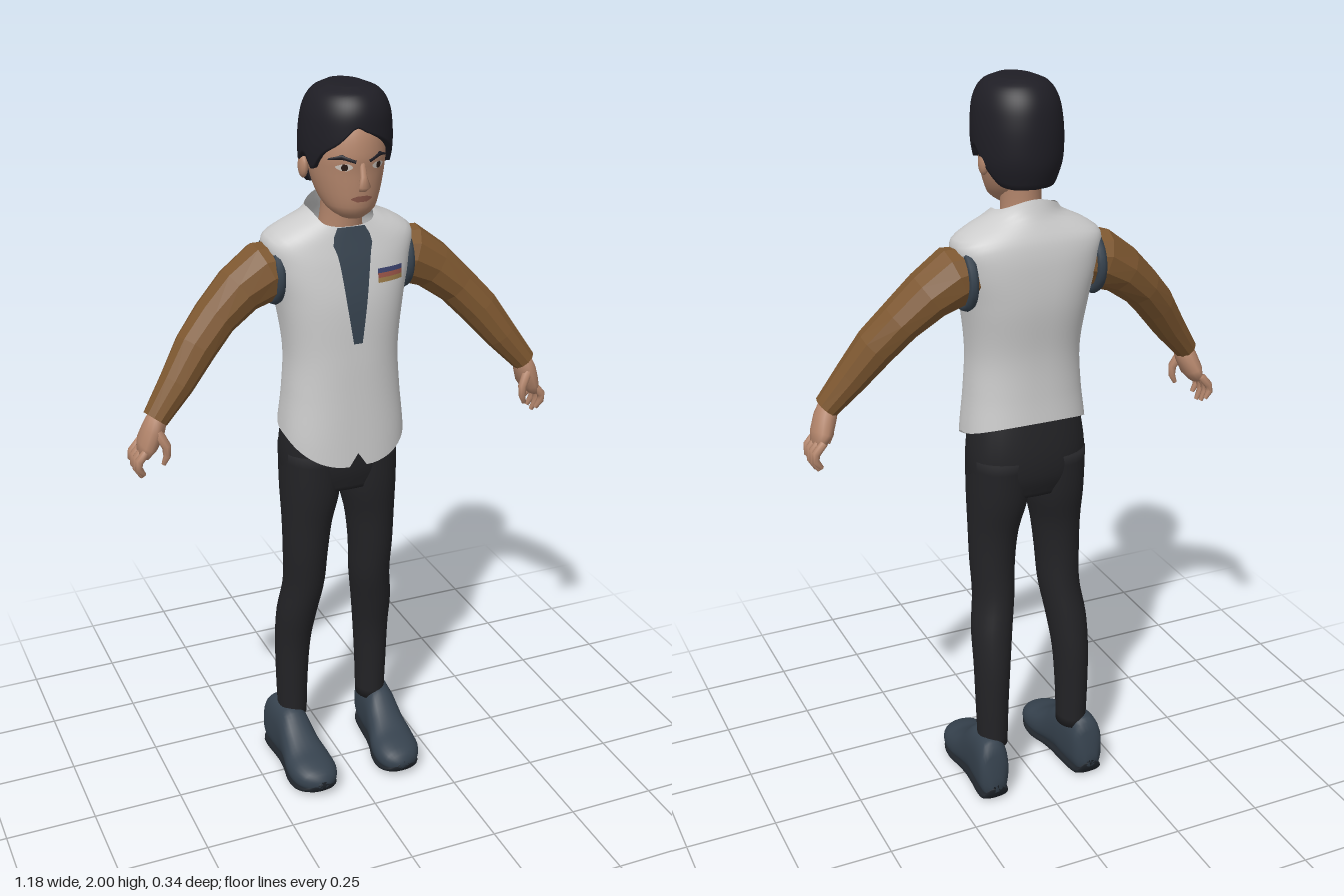
import * as THREE from 'three';

const SKIN = 0xb4866c, HAIR = 0x1f1e25, CLOTH = 0xcccccc, SLATE = 0x36424e, BROWN = 0x7d5730, BLACK = 0x232326;

function mesh(name, geometry, color, flatShading = false) {
  const m = new THREE.Mesh(geometry, new THREE.MeshStandardMaterial({ color, flatShading, side: THREE.DoubleSide }));
  m.name = name;
  return m;
}

// Skin a list of point rows; closed rows wrap round and may be capped
function skin(rows, closed = true, capStart = true, capEnd = true) {
  const n = rows[0].length, pos = rows.flat(), idx = [];
  for (let j = 0; j < rows.length - 1; j++) {
    for (let i = 0; i < (closed ? n : n - 1); i++) {
      const a = j * n + i, b = j * n + (i + 1) % n;
      idx.push(a, a + n, b, b, a + n, b + n);
    }
  }
  const cap = (j, end) => {
    const centre = new THREE.Vector3();
    rows[j].forEach(p => centre.add(p));
    const k = pos.push(centre.divideScalar(n)) - 1;
    for (let i = 0; i < n; i++) {
      const a = j * n + i, b = j * n + (i + 1) % n;
      idx.push(k, end ? b : a, end ? a : b);
    }
  };
  if (closed && capStart) cap(0, false);
  if (closed && capEnd) cap(rows.length - 1, true);
  const g = new THREE.BufferGeometry().setFromPoints(pos);
  g.setIndex(idx);
  g.computeVertexNormals();
  return g;
}

// Smoothly interpolate a table whose first column descends
function sample(T, y) {
  const last = T.length - 1;
  y = Math.min(T[0][0], Math.max(T[last][0], y));
  let k = 0;
  while (k < last - 1 && T[k + 1][0] > y) k++;
  const h = T[k + 1][0] - T[k][0], t = (y - T[k][0]) / h;
  const slope = (i, c) => {
    const a = T[Math.max(0, i - 1)], b = T[Math.min(last, i + 1)];
    return (b[c] - a[c]) / (b[0] - a[0]) * h;
  };
  return T[0].map((_, c) => {
    const p = T[k][c], q = T[k + 1][c];
    return p + (q - p) * t * t * (3 - 2 * t) + slope(k, c) * t * (1 - t) ** 2 + slope(k + 1, c) * t * t * (t - 1);
  });
}

// Tables hold: y, half width, front z, back z, roundness power, centre x
function ringPoint(T, y, a, scale = 1) {
  const [, rx, f, b, p = 2, cx = 0] = sample(T, y);
  const pw = v => Math.sign(v) * Math.abs(v) ** (2 / p) * scale;
  return new THREE.Vector3(cx + rx * pw(Math.sin(a)), y, (f + b) / 2 + (f - b) / 2 * pw(Math.cos(a)));
}

function frontZ(T, x, y) {
  const [, rx, f, b, p = 2] = sample(T, y);
  return (f + b) / 2 + (f - b) / 2 * Math.max(0, 1 - Math.abs(x / rx) ** p) ** (1 / p);
}

function shell(T, { n = 28, rows = 24, top = () => T[0][0], bottom = () => T.at(-1)[0], ease = 1, caps = true, capEnd = caps, lip = 0 } = {}) {
  const out = [];
  const angle = i => { const a = i / n * Math.PI * 2; return a > Math.PI ? a - Math.PI * 2 : a; };
  for (let j = 0; j <= rows; j++) {
    out.push(Array.from({ length: n }, (_, i) =>
      ringPoint(T, THREE.MathUtils.lerp(top(angle(i)), bottom(angle(i)), (j / rows) ** ease), angle(i))));
  }
  if (lip) out.push(Array.from({ length: n }, (_, i) => ringPoint(T, bottom(angle(i)), angle(i), lip)));
  return skin(out, true, caps, capEnd);
}

// Tube through rows of x, y, z, radius towards z, radius across
function sweep(P, n = 8) {
  const c = P.map(p => new THREE.Vector3(p[0], p[1], p[2]));
  return skin(P.map((p, j) => {
    const t = c[Math.min(j + 1, c.length - 1)].clone().sub(c[Math.max(j - 1, 0)]).normalize();
    const u = new THREE.Vector3(0, 0, 1).addScaledVector(t, -t.z).normalize();
    const w = u.clone().cross(t);
    return Array.from({ length: n }, (_, i) => {
      const a = i / n * Math.PI * 2;
      return c[j].clone().addScaledVector(u, Math.cos(a) * p[3]).addScaledVector(w, Math.sin(a) * (p[4] ?? p[3]));
    });
  }));
}

// Thin patch lying on the front of a shell; rows of y, left x, right x
function patch(T, R, off, steps = 14, cols = 8) {
  const rows = [];
  for (let j = 0; j <= steps; j++) {
    const y = THREE.MathUtils.lerp(R[0][0], R.at(-1)[0], j / steps), [, l, r] = sample(R, y);
    rows.push(Array.from({ length: cols + 1 }, (_, i) => {
      const x = l + (r - l) * i / cols;
      return new THREE.Vector3(x, y, frontZ(T, x, y) + off);
    }));
  }
  return skin(rows, false);
}

const VEST = [
  [1.715, .075, .03, -.09, 2], [1.67, .098, .05, -.107, 2], [1.645, .15, .058, -.12, 2.2], [1.61, .197, .068, -.136, 2.6],
  [1.55, .19, .085, -.146, 2.8], [1.45, .169, .104, -.147, 2.6], [1.31, .152, .11, -.131, 2.4],
  [1.2, .157, .112, -.131, 2.4], [1.08, .169, .115, -.14, 2.5], [1, .171, .117, -.142, 2.5]];
const FACE = [
  [1.95, .06, .09, -.05], [1.9, .085, .126, -.08], [1.84, .096, .138, -.085], [1.8, .094, .134, -.08], [1.76, .086, .132, -.07],
  [1.72, .072, .128, -.04], [1.695, .056, .12, 0], [1.677, .03, .1, .03]];
const HAIRCUT = [
  [2, .045, .09, -.04], [1.985, .08, .126, -.07], [1.95, .103, .15, -.096], [1.9, .113, .155, -.108], [1.84, .115, .15, -.111],
  [1.79, .109, .132, -.107], [1.735, .09, .11, -.09]];
// Hairline height by angle in degrees from the front
const HAIRLINE = [[180, 1.737], [125, 1.745], [105, 1.79], [92, 1.83], [80, 1.832], [68, 1.8], [58, 1.835], [45, 1.855], [25, 1.88],
  [0, 1.903], [-12, 1.913], [-32, 1.875], [-55, 1.84], [-68, 1.8], [-80, 1.832], [-92, 1.83], [-105, 1.79], [-125, 1.745], [-180, 1.737]];
const LEG = [
  [1.02, .08, .074, -.136, 2.2, .082], [.9, .079, .068, -.126, 2.2, .083], [.8, .068, .055, -.106, 2, .093], [.7, .061, .045, -.1, 2, .098],
  [.6, .057, .03, -.106, 2, .1], [.5, .056, .008, -.123, 2, .114], [.4, .05, -.014, -.135, 2, .121], [.28, .045, -.024, -.135, 2, .124],
  [.15, .041, -.03, -.131, 2, .124]];
// Shoe from toe to heel: z, half width, top, bottom, power, centre x
const SHOE = [
  [.17, .018, .058, .032, 2, .125], [.157, .044, .075, .02, 2.2, .127], [.12, .064, .091, .01, 2.3, .13], [.07, .066, .106, .006, 2.3, .133],
  [.02, .056, .137, .008, 2.3, .136], [-.025, .05, .176, .008, 2.3, .138], [-.06, .048, .182, .006, 2.5, .14], [-.13, .046, .18, .005, 2.5, .146],
  [-.155, .039, .15, .01, 2.4, .148], [-.167, .02, .08, .03, 2, .148]];

function buildHead() {
  const g = new THREE.Group();
  g.name = 'head';
  g.add(mesh('face', shell(FACE), SKIN));
  g.add(mesh('neck', shell([[1.76, .05, .07, -.07], [1.68, .051, .058, -.066], [1.6, .06, .05, -.08]]), SKIN));
  const hem = a => sample(HAIRLINE, a * 180 / Math.PI)[1];
  g.add(mesh('hair', shell(HAIRCUT, { n: 72, rows: 26, bottom: hem, ease: 1.4, capEnd: false, lip: .87 }), HAIR));
  g.add(mesh('nose', sweep([[0, 1.825, .132, .005, .007], [0, 1.79, .14, .008, .009], [0, 1.768, .149, .01, .016], [0, 1.756, .136, .004, .011]], 10), SKIN));
  g.add(mesh('mouth', patch(FACE, [[1.742, -.012, .012], [1.735, -.028, .028], [1.727, -.013, .013]], .003), 0x8a5749));
  for (const s of [1, -1]) {
    const both = R => s > 0 ? R : R.map(([y, l, r]) => [y, -r, -l]);
    g.add(mesh('eye', patch(FACE, both([[1.823, .034, .05], [1.817, .026, .062], [1.811, .028, .06], [1.806, .038, .05]]), .002), 0xd0c8c0));
    g.add(mesh('iris', patch(FACE, both([[1.823, .04, .049], [1.815, .037, .052], [1.807, .04, .049]]), .004), 0x2a1c16));
    const brow = [[.018, 1.828], [.05, 1.84], [.075, 1.832]].map(([x, y], i) => [s * x, y, frontZ(FACE, x, y), .004, [.004, .006, .002][i]]);
    g.add(mesh('eyebrow', sweep(brow), HAIR));
    const ear = mesh('ear', new THREE.SphereGeometry(1, 14, 10), SKIN);
    ear.scale.set(.012, .03, .02);
    ear.position.set(s * .102, 1.795, -.003);
    g.add(ear);
  }
  return g;
}

function buildTorso() {
  const g = new THREE.Group();
  g.name = 'torso';
  const top = a => { const c = Math.cos(a); return 1.685 + (c > 0 ? -.04 : .028) * c * c; };
  const hem = a => {
    const c = Math.cos(a);
    return 1.085 + (c > 0 ? -.08 * c ** 1.5 : -.045 * c) + .038 * Math.max(0, 1 - Math.abs(a) / .09);
  };
  g.add(mesh('vest', shell(VEST, { n: 72, rows: 44, top, bottom: hem, caps: false }), CLOTH));
  g.add(mesh('tie', patch(VEST, [[1.645, -.036, .038], [1.61, -.052, .054], [1.575, -.042, .046], [1.45, -.027, .026], [1.35, -.012, .012]], .004), SLATE));
  // Three stripes on the left chest
  [0x3d4470, 0x9a5548, 0x9a7a48].forEach((c, i) => {
    const y = 1.536 - i * .012;
    g.add(mesh('chestStripe', patch(VEST, [[y, .062, .136], [y - .012, .062, .136]], .004, 2), c));
  });
  g.add(mesh('hips', shell([[1.2, .14, .085, -.115, 2.4], [1.05, .162, .08, -.138, 2.4], [.97, .162, .074, -.136, 2.4], [.91, .15, .058, -.115, 2.3]]), BLACK));
  return g;
}

function buildArm() {
  const g = new THREE.Group();
  g.add(mesh('sleeve', sweep([
    [.14, 1.535, -.04, .07, .065], [.2, 1.525, -.036, .08, .08], [.27, 1.485, -.033, .073, .066], [.34, 1.425, -.02, .066, .056],
    [.4, 1.36, 0, .06, .054], [.46, 1.28, .022, .05, .045], [.525, 1.2, .04, .038, .033]], 11), BROWN, true));
  const hole = mesh('armhole', new THREE.TorusGeometry(.076, .013, 8, 28), SLATE);
  hole.position.set(.178, 1.523, -.04);
  hole.rotation.set(0, Math.PI / 2, -.1);
  g.add(hole);
  g.add(mesh('palm', sweep([
    [.515, 1.215, .042, .027, .024], [.53, 1.175, .04, .038, .029], [.545, 1.135, .03, .046, .027], [.558, 1.108, .025, .04, .016]], 12), SKIN));
  for (let k = 0; k < 4; k++) {
    const z = .058 - k * .024, tip = [1.055, 1.04, 1.045, 1.06][k];
    g.add(mesh('finger', sweep([
      [.553, 1.125, z, .011], [.576, 1.098, z, .0115], [.578, (1.098 + tip) / 2, z - .004, .01], [.564, tip, z - .006, .006]]), SKIN));
  }
  g.add(mesh('thumb', sweep([[.528, 1.175, .062, .014], [.508, 1.135, .073, .012], [.508, 1.108, .074, .01], [.517, 1.085, .07, .006]]), SKIN));
  return g;
}

function buildLeg() {
  const g = new THREE.Group();
  g.add(mesh('trouserLeg', shell(LEG, { rows: 32 }), BLACK));
  // Shoe and sole are lofted along z, then laid flat
  const lay = (name, T, color) => {
    const m = mesh(name, shell(T.map(([z, w, t, b, p, x]) => [z, w, -b, -t, p, x]), { rows: 32 }), color);
    m.rotation.x = Math.PI / 2;
    g.add(m);
  };
  lay('shoe', SHOE, SLATE);
  lay('sole', SHOE.map(([z, w, , b, p, x]) => [z, w * .97, b + .022, b - .005, p, x]), 0x1f242a);
  return g;
}

export function createModel() {
  const model = new THREE.Group();
  model.name = 'figure';
  model.add(buildHead(), buildTorso());
  for (const [side, s] of [['left', 1], ['right', -1]]) {
    for (const [part, build] of [['Arm', buildArm], ['Leg', buildLeg]]) {
      const limb = build();
      limb.name = side + part;
      limb.scale.x = s;
      model.add(limb);
    }
  }
  return model;
}
